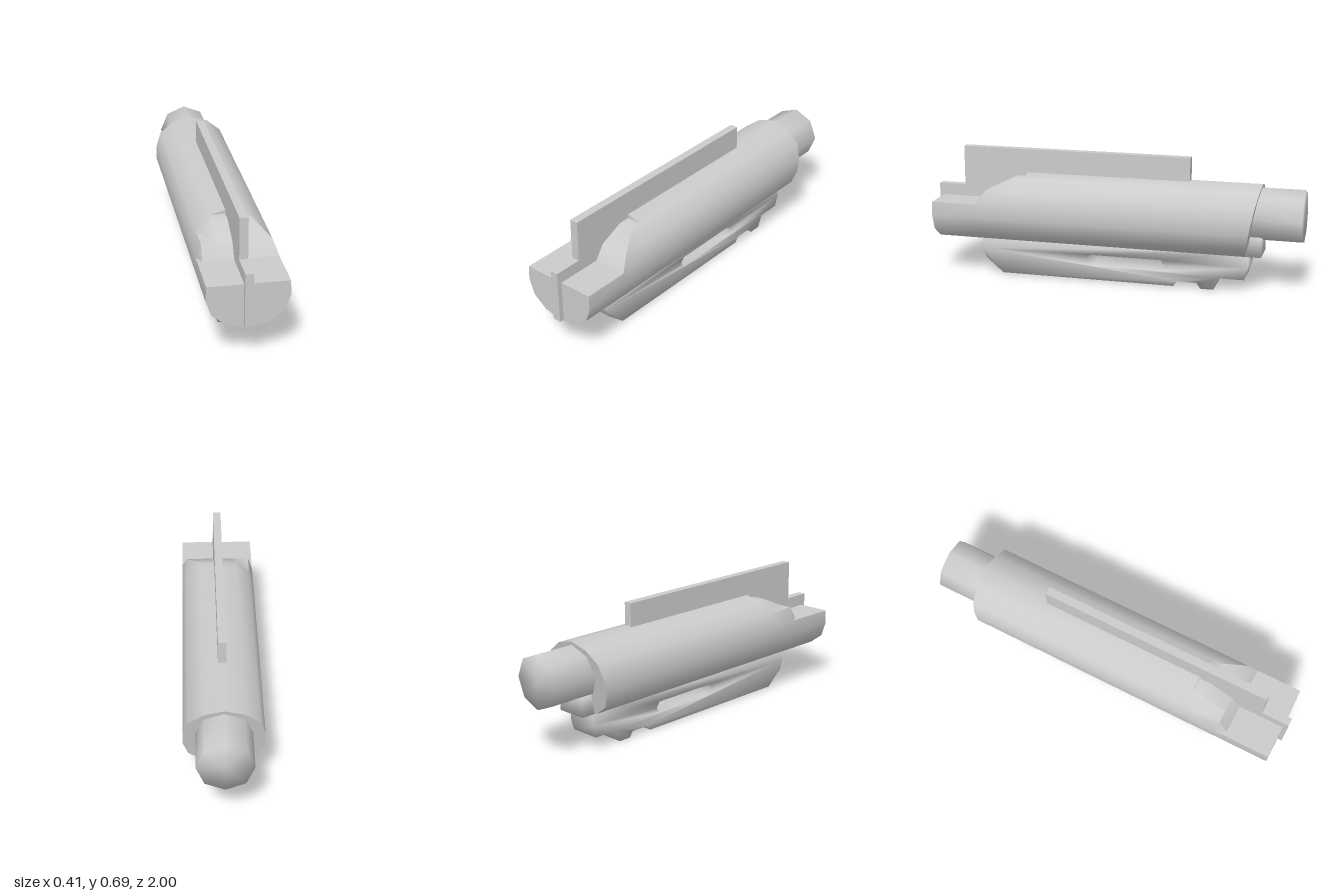
import * as THREE from 'three';
import { mergeVertices, toCreasedNormals } from 'three/addons/utils/BufferGeometryUtils.js';

const material = new THREE.MeshStandardMaterial({ color: 0xcccccc, roughness: 0.8 });

function part(name, geometry) {
  const mesh = new THREE.Mesh(geometry, material);
  mesh.name = name;
  return mesh;
}

// Side profile in (z, y), given thickness across x and centred on x = 0
function slab(profile, width, hole) {
  const toVec = ([z, y]) => new THREE.Vector2(z, y);
  const shape = new THREE.Shape(profile.map(toVec));
  if (hole) shape.holes.push(new THREE.Path(hole.map(toVec)));
  return new THREE.ExtrudeGeometry(shape, { depth: width, bevelEnabled: false })
    .translate(0, 0, -width / 2)
    .rotateY(-Math.PI / 2);
}

// Rounded normals over every edge
function soften(geometry) {
  geometry.deleteAttribute('normal');
  geometry.deleteAttribute('uv');
  const merged = mergeVertices(geometry, 1e-4);
  merged.computeVertexNormals();
  return merged;
}

// Fourteen-sided tube, its front cut down in steps and its rear end slanted
function bodyGeometry() {
  const half = [[0.1, 0.538], [0.175, 0.48], [0.2, 0.407], [0.203, 0.333], [0.175, 0.253], [0.1, 0.197]];
  const outline = [
    [0, 0.565],
    ...half.map(([x, y]) => [-x, y]),
    [0, 0.177],
    ...half.slice().reverse(),
  ];
  // Each station is [z, highest y allowed there]
  const stations = [[0.975, 0.407], [0.73, 0.407], [0.68, 0.48], [0.55, 0.538], [0.49, 0.538], [0.49, 0.565]];
  const rings = stations.map(([z, cap]) =>
    outline.map(([x, y]) => new THREE.Vector3(x, Math.min(y, cap), z)));
  rings.push(outline.map(([x, y]) => new THREE.Vector3(x, y, -0.71 - 0.187 * (y - 0.19))));

  const positions = [];
  const triangle = (a, b, c) => {
    if (new THREE.Triangle(a, b, c).getArea() > 1e-7) {
      for (const p of [a, b, c]) positions.push(p.x, p.y, p.z);
    }
  };
  const n = outline.length;
  const first = rings[0];
  const last = rings[rings.length - 1];
  const frontCentre = new THREE.Vector3(0, 0.3, 0.975);
  const rearCentre = new THREE.Vector3(0, 0.37, -0.71 - 0.187 * 0.18);
  for (let i = 0; i < n; i++) {
    const j = (i + 1) % n;
    for (let r = 0; r < rings.length - 1; r++) {
      const a = rings[r], b = rings[r + 1];
      triangle(a[i], b[i], b[j]);
      triangle(a[i], b[j], a[j]);
    }
    triangle(frontCentre, first[i], first[j]);
    triangle(rearCentre, last[j], last[i]);
  }
  const geometry = new THREE.BufferGeometry();
  geometry.setAttribute('position', new THREE.Float32BufferAttribute(positions, 3));
  return toCreasedNormals(geometry, 0.75);
}

export function createModel() {
  const group = new THREE.Group();
  group.name = 'model';

  group.add(part('body', bodyGeometry()));

  // Eight-sided stub leaving the slanted rear end
  const stub = new THREE.CylinderGeometry(0.14, 0.14, 0.4, 8).rotateX(Math.PI / 2);
  stub.translate(0, 0.407, -0.8);
  group.add(part('rearStub', soften(stub)));

  // Thin upright blade through the body, stepped at the front
  group.add(part('blade', slab([
    [1, 0.19], [1, 0.47], [0.85, 0.47], [0.85, 0.685], [-0.4, 0.685], [-0.4, 0.19],
  ], 0.043)));

  // Handle beneath, with a long slot and a small foot
  group.add(part('handle', soften(slab([
    [0.735, 0.22], [0.735, 0.135], [0.715, 0.085], [0.62, 0.003],
    [-0.33, 0.003], [-0.35, 0.03], [-0.455, 0.03], [-0.475, 0],
    [-0.545, 0], [-0.57, 0.065], [-0.705, 0.065], [-0.725, 0.13], [-0.725, 0.22],
  ], 0.165, [
    [0.15, 0.11], [0.13, 0.14], [-0.26, 0.14], [-0.28, 0.11], [-0.26, 0.08], [0.13, 0.08],
  ]))));

  // Block joining the handle to the rear of the body
  const block = new THREE.BoxGeometry(0.165, 0.108, 0.14);
  block.translate(0, 0.246, -0.72);
  group.add(part('rearBlock', soften(block)));

  return group;
}
